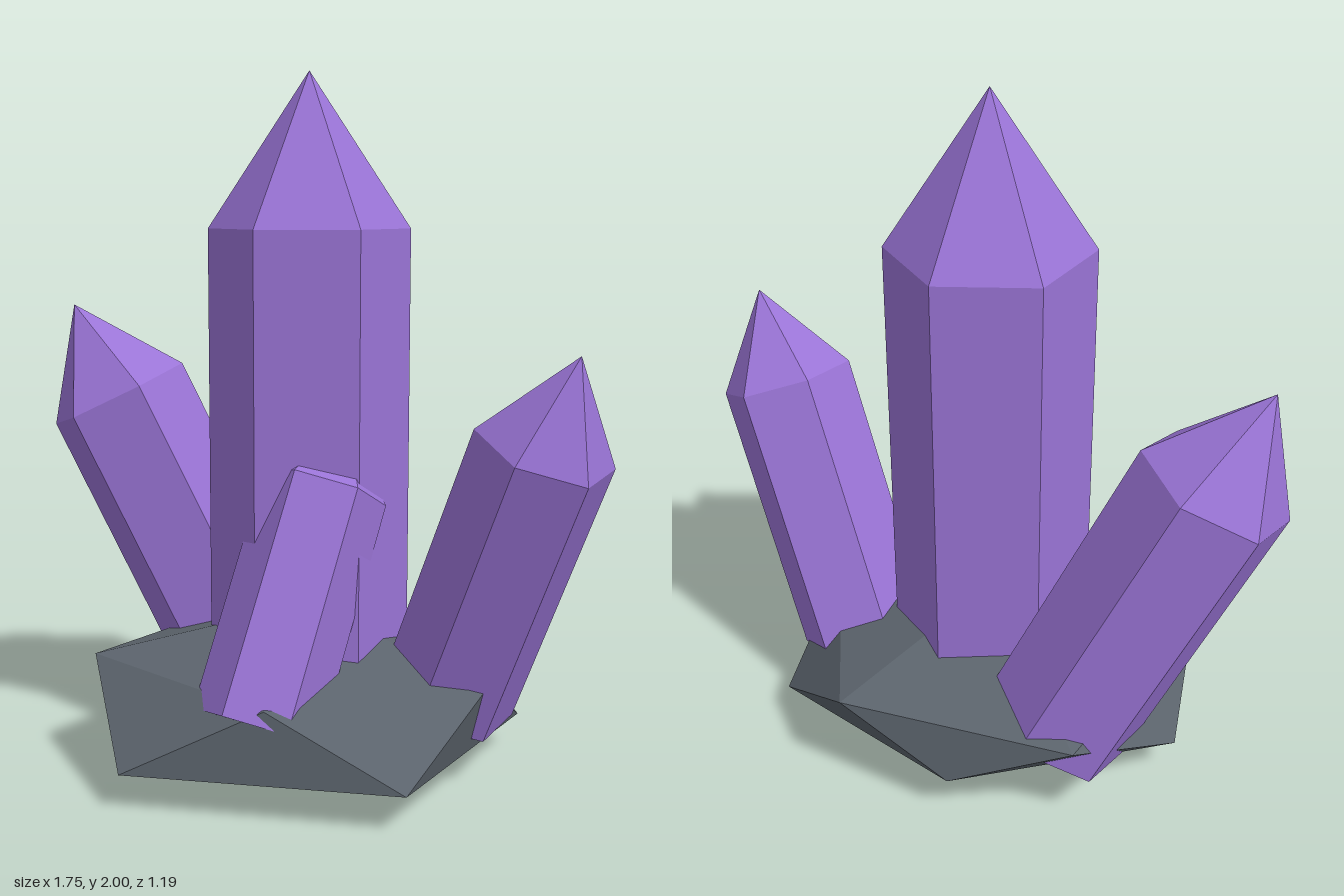
import * as THREE from 'three';

const V = (x, y, z) => new THREE.Vector3(x, y, z);

export function createModel() {
  const model = new THREE.Group();
  model.name = 'crystalCluster';

  const amethyst = new THREE.MeshStandardMaterial({ color: 0x9a74d6, flatShading: true });
  amethyst.name = 'amethyst purple';
  const stone = new THREE.MeshStandardMaterial({ color: 0x5c646d, flatShading: true });
  stone.name = 'slate grey';

  // Six-sided prism from base to shoulder, with a pointed tip on the same axis
  function addCrystal(name, base, shoulder, radius, tipHeight) {
    const axis = shoulder.clone().sub(base);
    const length = axis.length();
    axis.normalize();

    const crystal = new THREE.Group();
    crystal.name = name;
    crystal.position.copy(base);
    crystal.rotation.set(Math.atan2(axis.z, axis.y), 0, -Math.asin(axis.x));

    const shaft = new THREE.Mesh(new THREE.CylinderGeometry(radius, radius, length, 6), amethyst);
    shaft.name = name + 'Shaft';
    shaft.position.y = length / 2;

    const tip = new THREE.Mesh(new THREE.ConeGeometry(radius, tipHeight, 6, 1, true), amethyst);
    tip.name = name + 'Tip';
    tip.position.y = length + tipHeight / 2;

    crystal.add(shaft, tip);
    model.add(crystal);
  }

  addCrystal('mainCrystal', V(0, 0.2, -0.05), V(0, 1.56, -0.05), 0.29, 0.44);
  addCrystal('rightCrystal', V(-0.34, 0.21, -0.23), V(-0.695, 1.04, -0.04), 0.225, 0.31);
  addCrystal('leftCrystal', V(0.4, 0.21, -0.165), V(0.72, 0.98, -0.083), 0.2, 0.28);
  addCrystal('frontCrystal', V(0.065, 0.21, 0.335), V(0.105, 0.83, 0.035), 0.18, 0.22);

  // Faceted rock: two staggered rings of five corners between two poles
  const top = V(0, 0.46, -0.05), bottom = V(0, 0, -0.05);
  const upper = [
    V(0.58, 0.3, -0.05), V(0.16, 0.3, 0.44), V(-0.51, 0.32, 0.32),
    V(-0.5, 0.3, -0.42), V(0.17, 0.31, -0.595),
  ];
  const lower = [
    V(0.53, 0.105, 0.33), V(-0.21, 0.1, 0.595), V(-0.63, 0.11, -0.03),
    V(-0.16, 0.13, -0.54), V(0.51, 0.1, -0.43),
  ];
  const corners = [];
  for (let i = 0; i < 5; i++) {
    const j = (i + 1) % 5;
    corners.push(
      top, upper[j], upper[i],
      upper[j], lower[i], upper[i],
      lower[j], lower[i], upper[j],
      bottom, lower[i], lower[j],
    );
  }
  const rockGeometry = new THREE.BufferGeometry().setFromPoints(corners);
  rockGeometry.computeVertexNormals();
  const rock = new THREE.Mesh(rockGeometry, stone);
  rock.name = 'rockBase';
  model.add(rock);

  return model;
}
